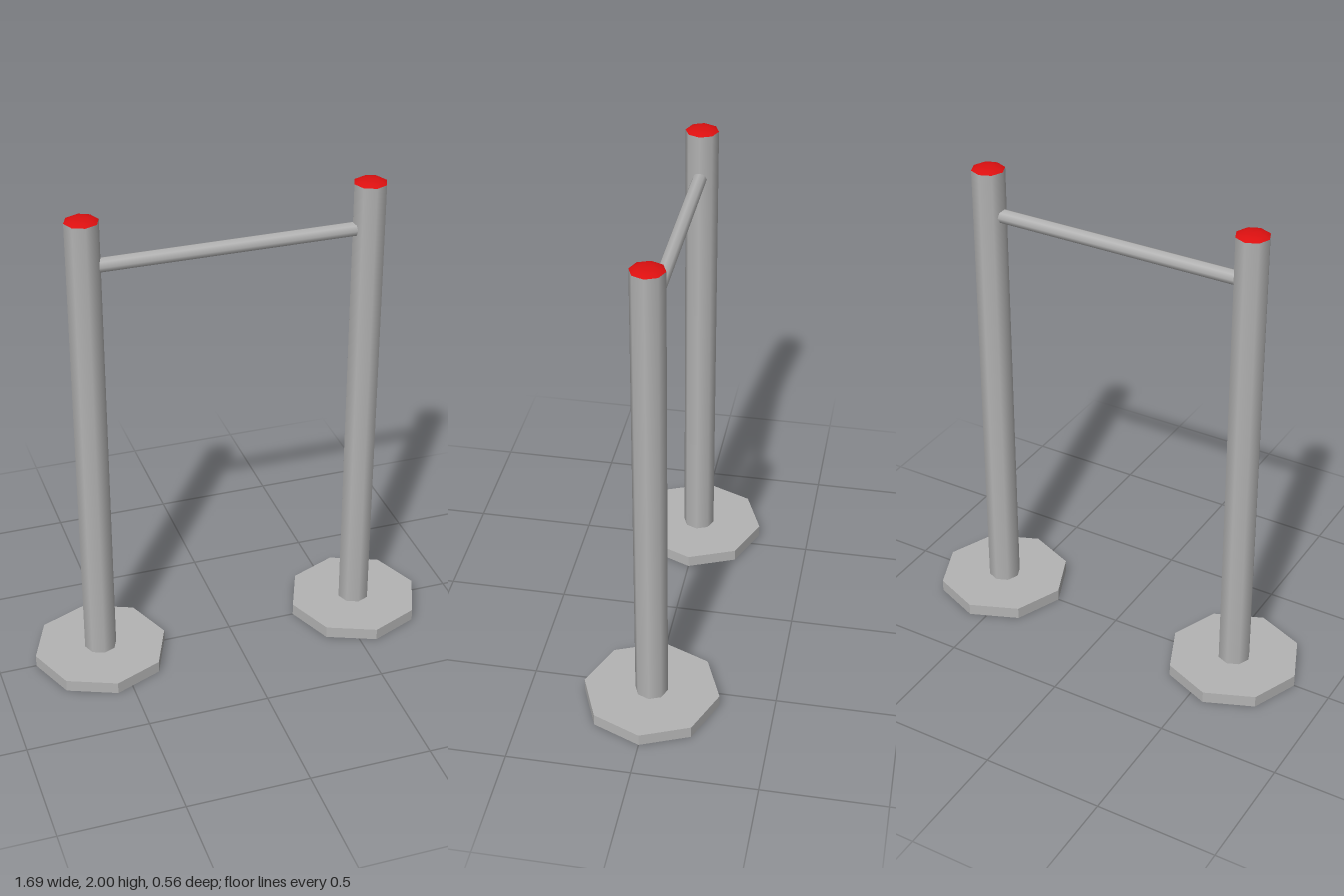
import * as THREE from 'three';

export function createModel() {
  const model = new THREE.Group();
  const grey = new THREE.MeshStandardMaterial({ color: 0xb3b3b3 });
  grey.name = 'grey metal';
  const red = new THREE.MeshStandardMaterial({ color: 0xdd1010 });
  red.name = 'red cap';

  const add = (parent, name, geometry, material, x, y) => {
    const mesh = new THREE.Mesh(geometry, material);
    mesh.name = name;
    mesh.position.set(x, y, 0);
    parent.add(mesh);
    return mesh;
  };

  // Eight-sided plate with flat faces
  const baseGeometry = new THREE.CylinderGeometry(0.278, 0.278, 0.05, 8).toNonIndexed();
  baseGeometry.computeVertexNormals();
  // Smooth pole and its low domed cap
  const poleGeometry = new THREE.CylinderGeometry(0.067, 0.067, 1.938, 8);
  const capGeometry = new THREE.LatheGeometry([
    new THREE.Vector2(0.067, 0),
    new THREE.Vector2(0.05, 0.009),
    new THREE.Vector2(0.027, 0.013),
    new THREE.Vector2(0, 0.014),
  ], 8);

  // Two matching posts
  for (const [side, name] of [[1, 'leftPost'], [-1, 'rightPost']]) {
    const post = new THREE.Group();
    post.name = name;
    post.position.x = side * 0.568;
    add(post, 'base', baseGeometry, grey, 0, 0.025);
    add(post, 'pole', poleGeometry, grey, 0, 1.017);
    add(post, 'cap', capGeometry, red, 0, 1.986);
    model.add(post);
  }

  // Crossbar running into both poles
  const bar = add(model, 'crossbar', new THREE.CylinderGeometry(0.029, 0.029, 1.06, 8), grey, 0, 1.8);
  bar.rotation.z = Math.PI / 2;

  return model;
}
